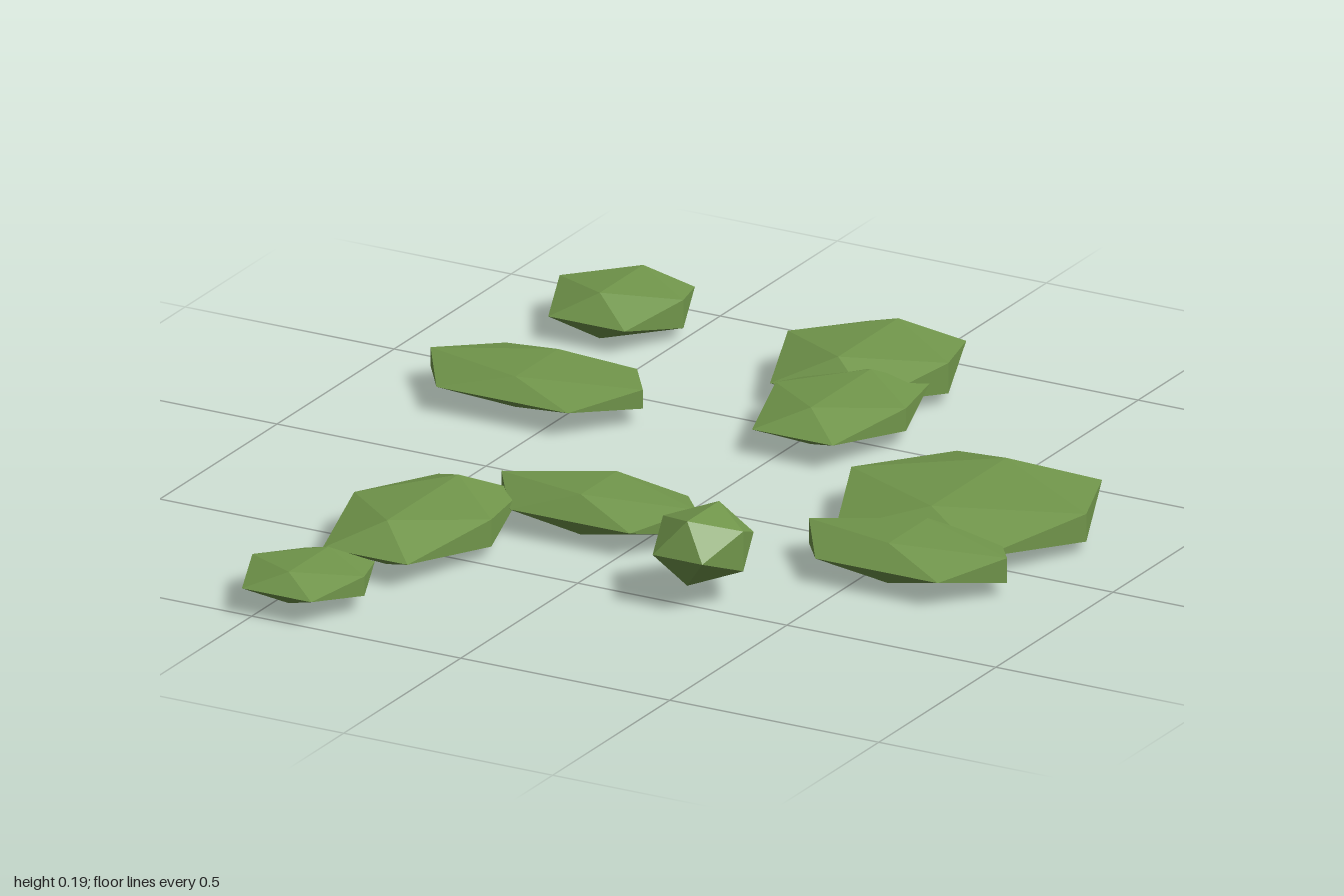
import * as THREE from 'three';

// Scattered low-poly foliage clumps: x, y, z of the centre, then half sizes in x, y, z
const CLUMPS = [
  [-0.652, 0.058, -0.85, 0.148, 0.051, 0.15],
  [-0.03, 0.059, -0.793, 0.192, 0.055, 0.207],
  [0.048, 0.06, -0.537, 0.156, 0.041, 0.207],
  [-0.587, 0.06, -0.372, 0.254, 0.034, 0.148],
  [0.556, 0.058, -0.177, 0.281, 0.05, 0.259],
  [0.58, 0.06, 0.125, 0.237, 0.045, 0.135],
  [-0.119, 0.06, 0.198, 0.233, 0.045, 0.125],
  [-0.394, 0.059, 0.459, 0.164, 0.049, 0.247],
  [-0.443, 0.06, 0.86, 0.134, 0.035, 0.136],
];
// The one rounder clump, sitting higher than the rest
const BUD = [0.265, 0.122, 0.438, 0.096, 0.072, 0.11];

export function createModel() {
  const group = new THREE.Group();
  group.name = 'foliageClumps';

  const leafGreen = new THREE.MeshStandardMaterial({ color: 0x71964b });
  leafGreen.name = 'leafGreen';

  // Icosahedron turned so its long edges lie along x, sized to a half extent of 1
  const geometry = new THREE.IcosahedronGeometry(1, 0).rotateY(Math.PI / 2);
  geometry.computeBoundingBox();
  const fit = 1 / geometry.boundingBox.max.x;
  geometry.scale(fit, fit, fit);

  const addClump = (name, [x, y, z, hx, hy, hz]) => {
    // Scale the vertices themselves so the facet normals stay exact
    const shape = geometry.clone().scale(hx, hy, hz);
    shape.computeVertexNormals();
    const mesh = new THREE.Mesh(shape, leafGreen);
    mesh.name = name;
    mesh.position.set(x, y, z);
    group.add(mesh);
  };

  CLUMPS.forEach((clump, i) => addClump(`flatClump${i + 1}`, clump));
  addClump('roundClump', BUD);
  return group;
}
